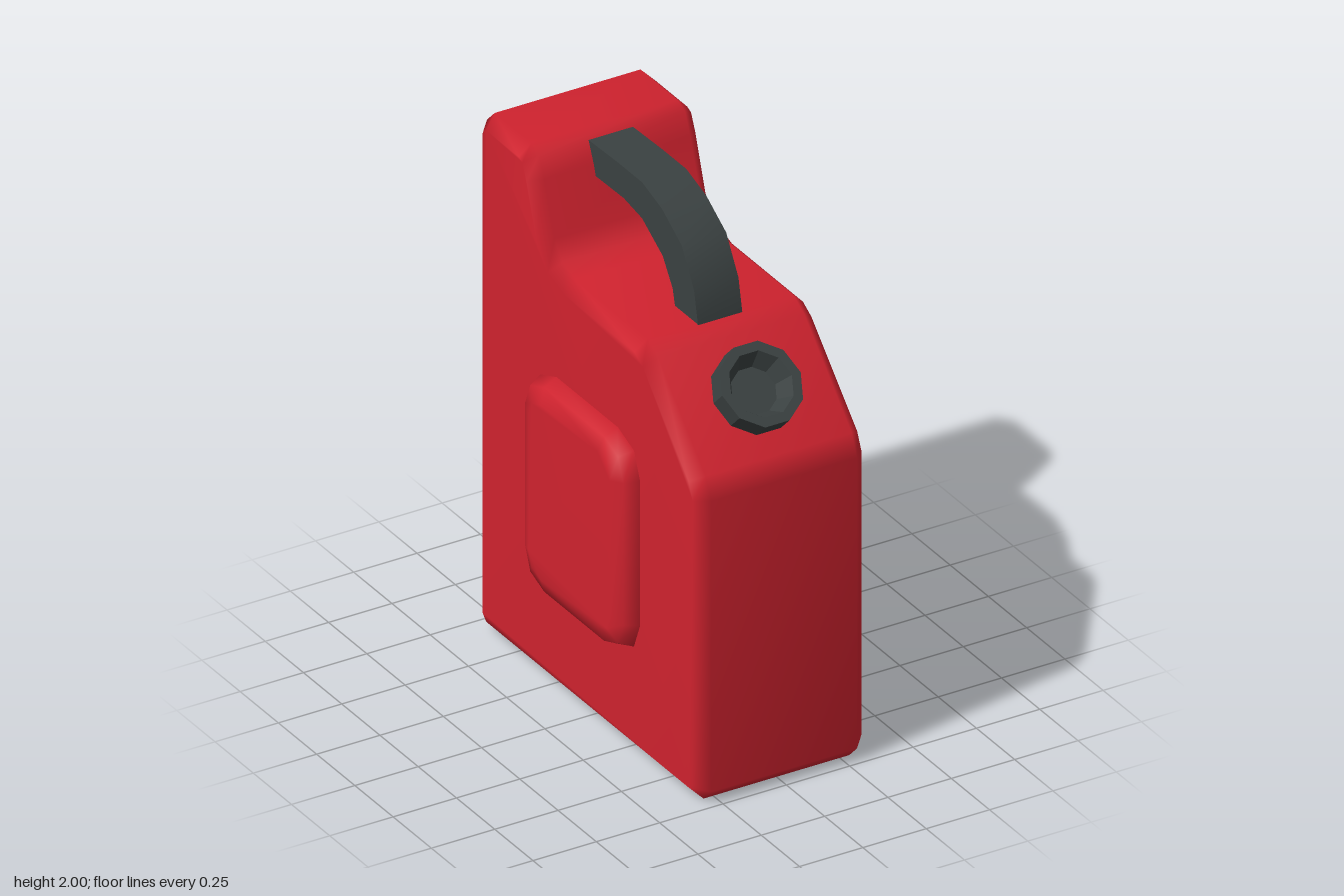
import * as THREE from 'three';
import { mergeVertices, toCreasedNormals } from 'three/addons/utils/BufferGeometryUtils.js';

// Extrudes a (z, y) side outline across x, centred, with an optional inset bevel.
function sideExtrude(points, width, bevelSize = 0, bevelDepth = 0, segments = 1) {
  const shape = new THREE.Shape(points.map(([z, y]) => new THREE.Vector2(z, y)));
  const depth = width - 2 * bevelDepth;
  const geo = new THREE.ExtrudeGeometry(shape, {
    depth,
    bevelEnabled: bevelSize > 0,
    bevelSize,
    bevelOffset: -bevelSize,
    bevelThickness: bevelDepth,
    bevelSegments: segments,
  });
  geo.translate(0, 0, -depth / 2);
  geo.rotateY(-Math.PI / 2);
  return geo;
}

// Shares vertices so the whole surface shades smoothly.
function smooth(geo) {
  geo.deleteAttribute('normal');
  geo.deleteAttribute('uv');
  const merged = mergeVertices(geo, 1e-4);
  merged.computeVertexNormals();
  return merged;
}

export function createModel() {
  const group = new THREE.Group();
  const red = new THREE.MeshStandardMaterial({ color: 0xcf222e });
  red.name = 'red plastic';
  const dark = new THREE.MeshStandardMaterial({ color: 0x3a4141 });
  dark.name = 'dark grey plastic';

  const add = (name, geo, material) => {
    const mesh = new THREE.Mesh(geo, material);
    mesh.name = name;
    group.add(mesh);
    return mesh;
  };

  // Can body: sloped shoulder at the front, tall column at the back
  const bodyOutline = [
    [0.735, 0.05], [0.685, 0], [-0.68, 0], [-0.73, 0.05],
    [-0.73, 1.95], [-0.68, 2], [-0.44, 2], [-0.39, 1.98], [-0.355, 1.9],
    [-0.29, 1.7], [-0.235, 1.635], [-0.15, 1.61],
    [0.32, 1.61], [0.39, 1.57], [0.7, 1.26], [0.735, 1.18],
  ];
  add('body', smooth(sideExtrude(bodyOutline, 0.665, 0.045, 0.045)), red);

  // Raised side panels: one rounded block running through the body
  const corner = [[0.345, 1.08], [0.305, 1.18], [0.2, 1.22]];
  const flipZ = (pts) => pts.map(([z, y]) => [-z, y]).reverse();
  const topHalf = [...corner, ...flipZ(corner)];
  const bottomHalf = topHalf.map(([z, y]) => [-z, 1.6 - y]);
  add('sidePanels', smooth(sideExtrude([...topHalf, ...bottomHalf], 0.81, 0.08, 0.07, 2)), red);

  // Arched carrying handle, sunk into the body at both ends
  const handleOutline = [
    [0.33, 1.56], [0.325, 1.61], [0.3, 1.73], [0.22, 1.865], [0.09, 1.945],
    [-0.04, 1.985], [-0.2, 1.985], [-0.42, 1.978],
    [-0.42, 1.86], [-0.16, 1.865], [-0.04, 1.845], [0.095, 1.765],
    [0.16, 1.67], [0.175, 1.61], [0.18, 1.56],
  ];
  const handle = add('handle', toCreasedNormals(sideExtrude(handleOutline, 0.175), 0.7), dark);
  handle.position.x = -0.005;

  // Ten-sided spout collar with a tapered recess, square to the shoulder
  const spoutProfile = [
    [0.155, -0.03], [0.155, 0.081], [0.12, 0.081], [0.085, 0.01], [0, 0.01],
  ].map(([r, h]) => new THREE.Vector2(r, h));
  const spoutGeo = new THREE.LatheGeometry(spoutProfile, 10, Math.PI / 10);
  const spout = add('spout', toCreasedNormals(spoutGeo, 0.5), dark);
  spout.position.set(-0.003, 1.425, 0.535);
  spout.rotation.x = Math.PI / 4;

  return group;
}
